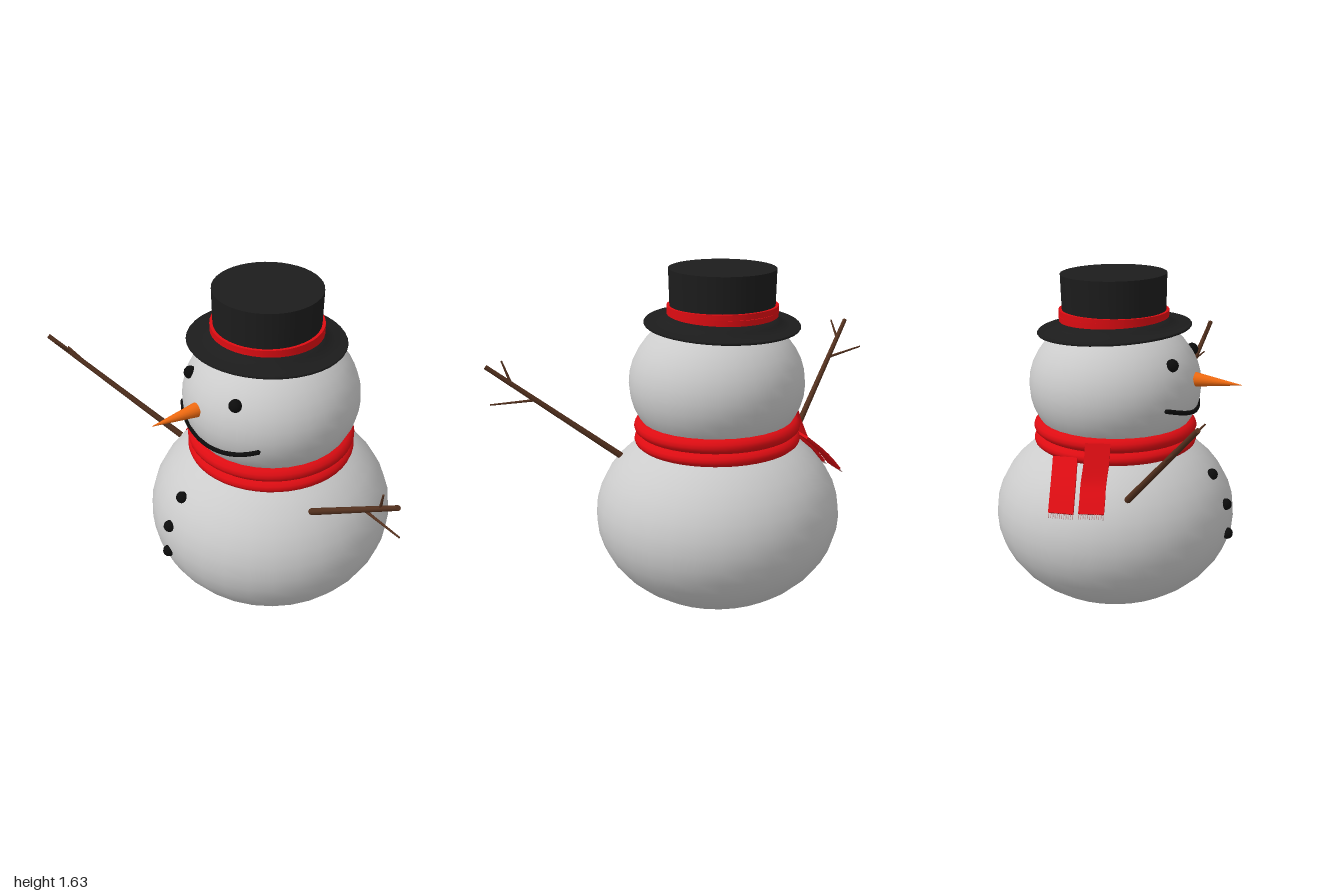
import * as THREE from 'three';

const V = (x, y, z) => new THREE.Vector3(x, y, z);
const mat = (color) => new THREE.MeshStandardMaterial({ color });
const CX = 0.08; // x of the snow balls
const BODY = { y: 0.46, r: 0.585, h: 0.455 };
const HEAD = { y: 1.1, r: 0.412, h: 0.345 };

export function createModel() {
  const root = new THREE.Group();
  const snow = mat(0xcccccc), black = mat(0x1c1c1c), coal = mat(0x0c0c0c), red = mat(0xdd0c12);
  const wood = mat(0x55321f), orange = mat(0xf06a10), fringeMat = mat(0xc9a0a0);

  const add = (parent, name, geo, material) => {
    const m = new THREE.Mesh(geo, material);
    m.name = name;
    parent.add(m);
    return m;
  };
  const group = (name, parent = root) => {
    const g = new THREE.Group();
    g.name = name;
    parent.add(g);
    return g;
  };
  // Point on the front of a snow ball for a given x and y
  const onBall = (b, x, y, out = 0) => {
    const r = b.r * Math.sqrt(1 - ((y - b.y) / b.h) ** 2);
    return V(x, y, Math.sqrt(r * r - (x - CX) ** 2) + out);
  };
  // Tapered rod between two points
  const rod = (parent, name, a, b, ra, rb, material, sides = 8) => {
    const m = add(parent, name, new THREE.CylinderGeometry(rb, ra, a.distanceTo(b), sides), material);
    m.position.copy(a).lerp(b, 0.5);
    m.quaternion.setFromUnitVectors(V(0, 1, 0), b.clone().sub(a).normalize());
    return m;
  };

  // Snow balls
  for (const [name, b] of [['body', BODY], ['head', HEAD]]) {
    const m = add(root, name, new THREE.SphereGeometry(1, 32, 20), snow);
    m.scale.set(b.r, b.h, b.r);
    m.position.set(CX, b.y, 0);
  }

  // Face
  const face = group('face');
  for (const x of [-0.19, 0.13]) {
    const eye = add(face, 'eye', new THREE.SphereGeometry(0.03, 16, 12), coal);
    eye.position.copy(onBall(HEAD, x, 1.25));
  }
  const mouthPts = [];
  for (let i = 0; i <= 12; i++) {
    const u = i / 6 - 1;
    mouthPts.push(onBall(HEAD, -0.005 + 0.255 * u, 0.996 + 0.06 * u * u, 0.003));
  }
  const mouthCurve = new THREE.CatmullRomCurve3(mouthPts);
  add(face, 'mouth', new THREE.TubeGeometry(mouthCurve, 32, 0.011, 8), coal);
  for (const p of [mouthPts[0], mouthPts[12]]) {
    add(face, 'mouthEnd', new THREE.SphereGeometry(0.011, 8, 6), coal).position.copy(p);
  }
  rod(face, 'nose', V(-0.075, 1.156, 0.37), V(-0.165, 1.152, 0.575), 0.034, 0.001, orange, 20);

  // Coal buttons
  const buttons = group('buttons');
  for (const [x, y] of [[-0.115, 0.7], [-0.145, 0.56], [-0.15, 0.413]]) {
    add(buttons, 'button', new THREE.SphereGeometry(0.028, 16, 12), coal).position.copy(onBall(BODY, x, y));
  }

  // Scarf: two wraps and two hanging tails with fringes
  const scarf = group('scarf');
  for (const [y, h] of [[0.898, 0.037], [0.834, 0.033]]) {
    const wrap = add(scarf, 'scarfWrap', new THREE.TorusGeometry(0.343, 0.05, 14, 48), red);
    wrap.rotation.x = Math.PI / 2;
    wrap.scale.z = h / 0.05;
    wrap.position.set(CX, y, 0);
  }
  const tail = (pts, width) => {
    const curve = new THREE.CatmullRomCurve3(pts);
    const geo = new THREE.BoxGeometry(0.115, 0.012, 1, 1, 1, 14);
    const pos = geo.attributes.position;
    const place = (x, y, t) => {
      const T = curve.getTangent(t);
      const N = T.clone().cross(width).normalize();
      return curve.getPoint(t).addScaledVector(width, x).addScaledVector(N, y);
    };
    for (let i = 0; i < pos.count; i++) {
      const p = place(pos.getX(i), pos.getY(i), pos.getZ(i) + 0.5);
      pos.setXYZ(i, p.x, p.y, p.z);
    }
    geo.computeVertexNormals();
    add(scarf, 'scarfTail', geo, red);
    const end = curve.getTangent(1).multiplyScalar(0.024);
    for (let i = 0; i < 12; i++) {
      const a = place((i / 11 - 0.5) * 0.11, 0, 1);
      rod(scarf, 'fringe', a, a.clone().add(end), 0.002, 0.002, fringeMat, 5);
    }
  };
  tail([V(-0.25, 0.835, -0.23), V(-0.34, 0.76, -0.235), V(-0.4, 0.7, -0.24), V(-0.45, 0.64, -0.245)],
    V(-0.22, 0, 1).normalize());
  tail([V(-0.305, 0.92, -0.08), V(-0.33, 0.85, -0.085), V(-0.37, 0.75, -0.1), V(-0.42, 0.69, -0.105),
    V(-0.46, 0.64, -0.11)], V(-0.1, 0, 1).normalize());

  // Stick arms: a branch and two twigs each
  const arm = (name, from, to, twigs) => {
    const g = group(name);
    rod(g, 'branch', from, to, 0.016, 0.011, wood);
    for (const [a, b] of twigs) rod(g, 'twig', a, b, 0.007, 0.004, wood, 6);
  };
  arm('rightArm', V(-0.42, 0.693, 0.053), V(-0.995, 1.207, 0.308), [
    [V(-0.81, 1.042, 0.226), V(-0.997, 1.083, 0.183)],
    [V(-0.905, 1.127, 0.268), V(-0.925, 1.21, 0.342)],
  ]);
  arm('leftArm', V(0.46, 0.737, 0.258), V(0.993, 1.196, 0.537), [
    [V(0.8, 1.03, 0.436), V(0.997, 1.024, 0.505)],
    [V(0.895, 1.112, 0.486), V(0.92, 1.217, 0.522)],
  ]);

  // Top hat, tipped slightly backwards
  const hat = group('hat');
  hat.position.set(0.052, 1.365, -0.004);
  const lathe = (pts) => new THREE.LatheGeometry(pts.map(([x, y]) => new THREE.Vector2(x, y)), 40);
  const brim = add(hat, 'hatBrim', lathe([[0, -0.006], [0.27, -0.006], [0.32, -0.004], [0.36, 0.004],
    [0.364, 0.01], [0.36, 0.016], [0.31, 0.014], [0.265, 0.03], [0.245, 0.055], [0, 0.055]]), black);
  brim.rotation.x = -0.06;
  const crown = add(hat, 'hatCrown', new THREE.CylinderGeometry(0.248, 0.242, 0.235, 40), black);
  crown.position.set(0, 0.148, -0.003);
  crown.rotation.x = -0.015;
  const bandGeo = new THREE.CylinderGeometry(0.258, 0.258, 0.026, 40);
  for (const [y, tilt] of [[0.085, 0], [0.069, -0.045]]) {
    const band = add(hat, 'hatBand', bandGeo, red);
    band.position.set(0, y, -0.003);
    band.rotation.x = tilt;
  }
  return root;
}
